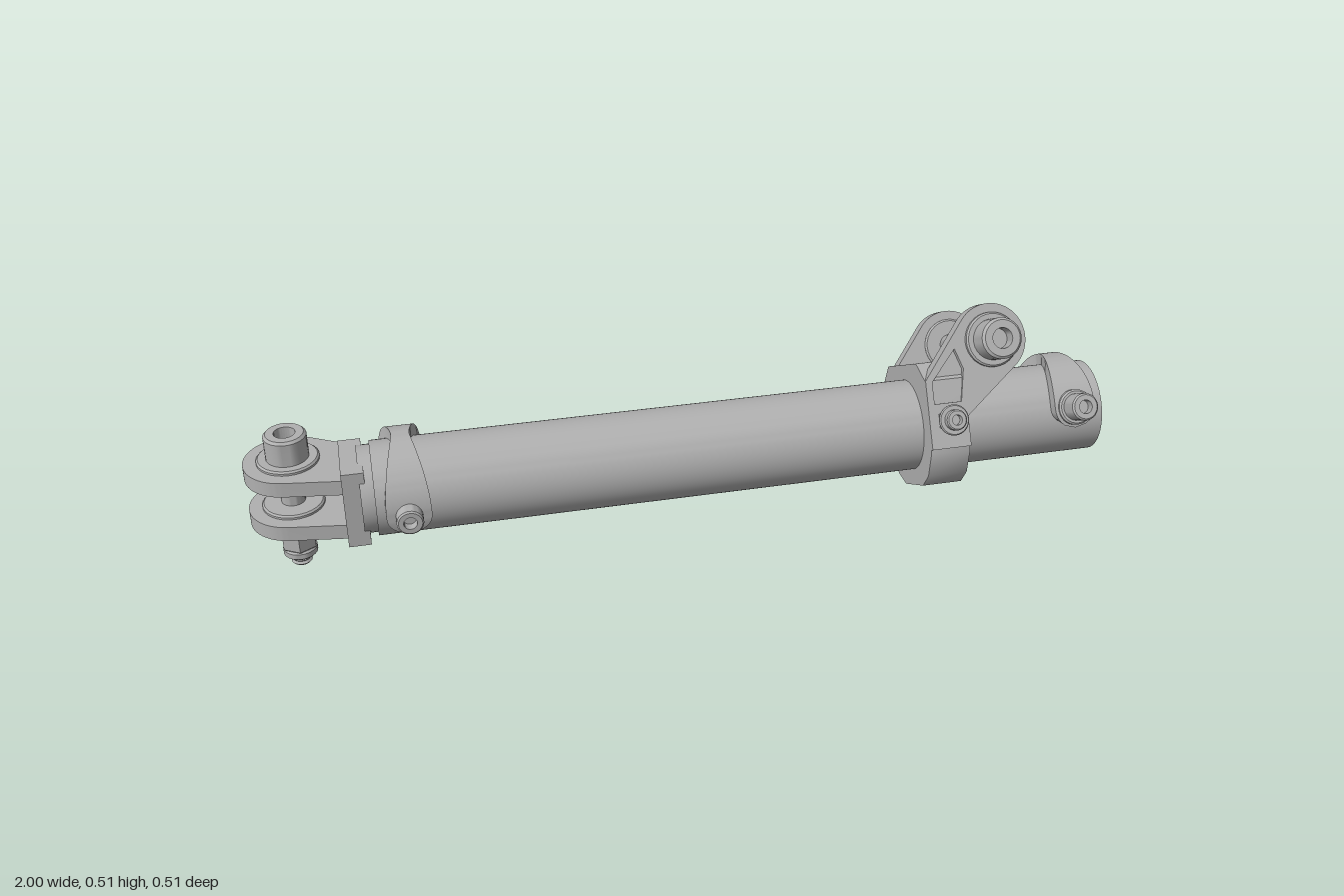
import * as THREE from 'three';
import { toCreasedNormals } from 'three/addons/utils/BufferGeometryUtils.js';

const metal = new THREE.MeshStandardMaterial({ color: 0xb0b0b0 });
metal.name = 'grey metal';

function add(parent, name, geometry, x = 0, y = 0, z = 0) {
  const mesh = new THREE.Mesh(geometry, metal);
  mesh.name = name;
  mesh.position.set(x, y, z);
  parent.add(mesh);
  return mesh;
}

function addGroup(parent, name, x = 0, y = 0, z = 0) {
  const group = new THREE.Group();
  group.name = name;
  group.position.set(x, y, z);
  parent.add(group);
  return group;
}

// Turned part around y from [radius, height] pairs
function turned(points, sides = 32) {
  const g = new THREE.LatheGeometry(points.map(([r, h]) => new THREE.Vector2(r, h)), sides);
  return toCreasedNormals(g, 0.6);
}

function disc(r, y0, y1, sides = 32) {
  const c = Math.min(0.004, (y1 - y0) / 3);
  return turned([[0, y0], [r - c, y0], [r, y0 + c], [r, y1 - c], [r - c, y1], [0, y1]], sides);
}

// Threaded rod with sawtooth ridges
function thread(r, y0, y1) {
  const n = Math.max(2, Math.round((y1 - y0) / 0.01));
  const pts = [[0, y0]];
  for (let i = 0; i <= n; i++) {
    const y = y0 + ((y1 - y0) * i) / n;
    pts.push([r * 0.82, y]);
    if (i < n) pts.push([r, y + (y1 - y0) / n / 2]);
  }
  pts.push([0, y1]);
  return turned(pts, 16);
}

// Socket-head cap with a hollow top
function socketHead(r, y0, y1) {
  const s = r * 0.5, c = r * 0.12;
  return turned([[0, y0], [r, y0], [r, y1 - c], [r - c, y1], [s, y1], [s, y1 - r * 0.7], [0, y1 - r * 0.7]], 30);
}

// Outline of an ear: straight foot points joined by tangents to a round eye
function earShape(cx, cy, r, foot) {
  const tangent = ([px, py], side) =>
    Math.atan2(cy - py, cx - px) + side * (Math.asin(r / Math.hypot(cx - px, cy - py)) + Math.PI / 2);
  const shape = new THREE.Shape();
  foot.forEach(([x, y], i) => (i ? shape.lineTo(x, y) : shape.moveTo(x, y)));
  shape.absarc(cx, cy, r, tangent(foot[foot.length - 1], -1), tangent(foot[0], 1), false);
  shape.closePath();
  return shape;
}

function extrude(shape, depth) {
  const g = new THREE.ExtrudeGeometry(shape, { depth, bevelEnabled: false, curveSegments: 28 });
  return toCreasedNormals(g, 0.6);
}

// Curved strap over the tube, broad and rounded at its two ends
function strapGeometry() {
  const ri = 0.106, ro = 0.134, broad = 0.05, slim = 0.02, over = broad / ro, n = 64;
  const pos = [], index = [];
  for (let i = 0; i <= n; i++) {
    const a = -over + ((Math.PI + 2 * over) * i) / n;
    const past = Math.max(-a, a - Math.PI, 0) * ro;
    const w = past > 0
      ? Math.sqrt(Math.max(0, broad * broad - past * past))
      : slim + (broad - slim) * Math.pow(Math.abs(Math.cos(a)), 1.3);
    for (const [r, x] of [[ro, -w], [ro, w], [ri, w], [ri, -w]]) pos.push(x, r * Math.sin(a), r * Math.cos(a));
    if (i === n) break;
    for (let j = 0; j < 4; j++) {
      const p = i * 4 + j, q = i * 4 + ((j + 1) % 4);
      index.push(p, q, q + 4, p, q + 4, p + 4);
    }
  }
  const g = new THREE.BufferGeometry();
  g.setAttribute('position', new THREE.Float32BufferAttribute(pos, 3));
  g.setIndex(index);
  return toCreasedNormals(g, 0.6);
}

export function createModel() {
  const model = new THREE.Group();
  model.name = 'tubular link';
  const axis = addGroup(model, 'tubeAxis', 0, 0.205, 0.072);
  const tilt = -Math.PI / 6;

  // Open tube with wall thickness
  const tube = turned([[0.086, -0.72], [0.108, -0.72], [0.108, 1], [0.086, 1], [0.086, -0.72]], 64);
  add(axis, 'tube', tube.rotateZ(-Math.PI / 2));

  // End plug and shoulder of the fork
  const plug = turned([[0, -0.75], [0.1, -0.75], [0.1, -0.72], [0.086, -0.72], [0.086, -0.56], [0, -0.56]], 48);
  add(axis, 'forkPlug', plug.rotateZ(-Math.PI / 2));

  // Fork on the narrow end
  const fork = addGroup(model, 'fork');
  add(fork, 'forkBase', new THREE.BoxGeometry(0.05, 0.19, 0.15), -0.763, 0.2, 0.075);
  const forkEar = earShape(-0.9, -0.025, 0.1, [[-0.74, -0.15], [-0.74, 0]]);
  forkEar.holes.push(new THREE.Path().absarc(-0.9, -0.025, 0.026, 0, Math.PI * 2, true));
  for (const [name, y] of [['upperForkEar', 0.258], ['lowerForkEar', 0.142]]) {
    add(fork, name, extrude(forkEar, 0.036).rotateX(-Math.PI / 2), 0, y - 0.018, 0);
    add(fork, name + 'Boss', disc(0.07, -0.027, 0.027), -0.9, y, 0.025);
  }

  // Vertical fork bolt
  const forkBolt = addGroup(model, 'forkBolt', -0.9, 0, 0.025);
  add(forkBolt, 'boltHead', socketHead(0.048, 0.284, 0.346));
  add(forkBolt, 'boltShank', disc(0.027, 0.09, 0.29));
  add(forkBolt, 'nut', disc(0.042, 0.045, 0.116, 6));
  add(forkBolt, 'nutCollar', disc(0.039, 0.025, 0.046));
  add(forkBolt, 'boltThread', thread(0.024, 0, 0.06));

  // Saddle strap and cross screws at the fork end
  const forkStrap = addGroup(axis, 'forkStrap', -0.65);
  add(forkStrap, 'strap', strapGeometry());
  for (const s of [1, -1]) {
    const screw = addGroup(forkStrap, s > 0 ? 'frontScrew' : 'backScrew');
    screw.rotation.x = (s * Math.PI) / 2;
    add(screw, 'screwHead', socketHead(0.03, 0.1, 0.163));
    add(screw, 'screwThread', thread(0.022, 0.05, 0.11));
  }

  // Saddle strap and through bolt at the open end
  const endStrap = addGroup(axis, 'endStrap', 0.92);
  endStrap.rotation.x = tilt;
  add(endStrap, 'strap', strapGeometry());
  const endBolt = addGroup(endStrap, 'endBolt');
  endBolt.rotation.x = Math.PI / 2;
  add(endBolt, 'washer', disc(0.042, 0.12, 0.142));
  add(endBolt, 'boltHead', socketHead(0.032, 0.14, 0.192));
  add(endBolt, 'boltThread', thread(0.018, -0.218, 0.142));
  add(endBolt, 'nut', disc(0.036, -0.175, -0.125, 6));
  add(endBolt, 'nutFlange', disc(0.036, -0.18, -0.17));

  // Clamp block around the tube
  const clamp = addGroup(axis, 'clamp');
  clamp.rotation.x = tilt;
  const block = new THREE.Shape([
    [-0.06, -0.146], [0.06, -0.146], [0.105, -0.122], [0.142, -0.07], [0.15, 0.0], [0.15, 0.1],
    [0.1, 0.143], [-0.1, 0.143], [-0.15, 0.1], [-0.15, 0.0], [-0.142, -0.07], [-0.105, -0.122],
  ].map(([a, b]) => new THREE.Vector2(a, b)));
  block.holes.push(new THREE.Path().absarc(0, 0, 0.107, 0, Math.PI * 2, true));
  add(clamp, 'clampBlock', extrude(block, 0.095).rotateY(Math.PI / 2), 0.55);

  // Two ears, each a thin web inside a thicker rim
  const eye = [0.72, 0.18, 0.085];
  const foot = [[0.55, 0.1], [0.55, -0.06], [0.645, -0.06], [0.645, 0.01]];
  const web = earShape(...eye, foot);
  const rim = earShape(...eye, foot);
  rim.holes.push(new THREE.Path([
    [0.566, 0.045], [0.566, 0.096], [0.628, 0.168], [0.645, 0.12], [0.632, 0.045],
  ].map(([x, y]) => new THREE.Vector2(x, y))));
  for (const s of [1, -1]) {
    const side = s > 0 ? 'front' : 'back';
    add(clamp, side + 'EarWeb', extrude(web, 0.024), 0, 0, s > 0 ? 0.118 : -0.142);
    add(clamp, side + 'EarRim', extrude(rim, 0.02), 0, 0, s > 0 ? 0.134 : -0.154);
    const boss = add(clamp, side + 'EarBoss', disc(0.064, 0.113, 0.166), 0.72, 0.18);
    boss.rotation.x = (s * Math.PI) / 2;

    // Small flanged screw low on the ear
    const screw = addGroup(clamp, side + 'ClampScrew', 0.6, 0.005, 0);
    screw.rotation.x = (s * Math.PI) / 2;
    add(screw, 'nut', disc(0.031, 0.145, 0.178, 6));
    add(screw, 'flange', disc(0.036, 0.174, 0.182));
    add(screw, 'screwEnd', socketHead(0.024, 0.18, 0.2));
  }

  // Long bolt through both ears
  const earBolt = addGroup(clamp, 'earBolt', 0.72, 0.18, 0);
  earBolt.rotation.x = Math.PI / 2;
  add(earBolt, 'boltHead', socketHead(0.048, 0.164, 0.225));
  add(earBolt, 'boltShank', disc(0.026, -0.17, 0.17));
  add(earBolt, 'nut', disc(0.043, -0.215, -0.16, 6));
  add(earBolt, 'nutCollar', disc(0.037, -0.237, -0.212));
  add(earBolt, 'boltThread', thread(0.024, -0.268, -0.22));

  return model;
}
